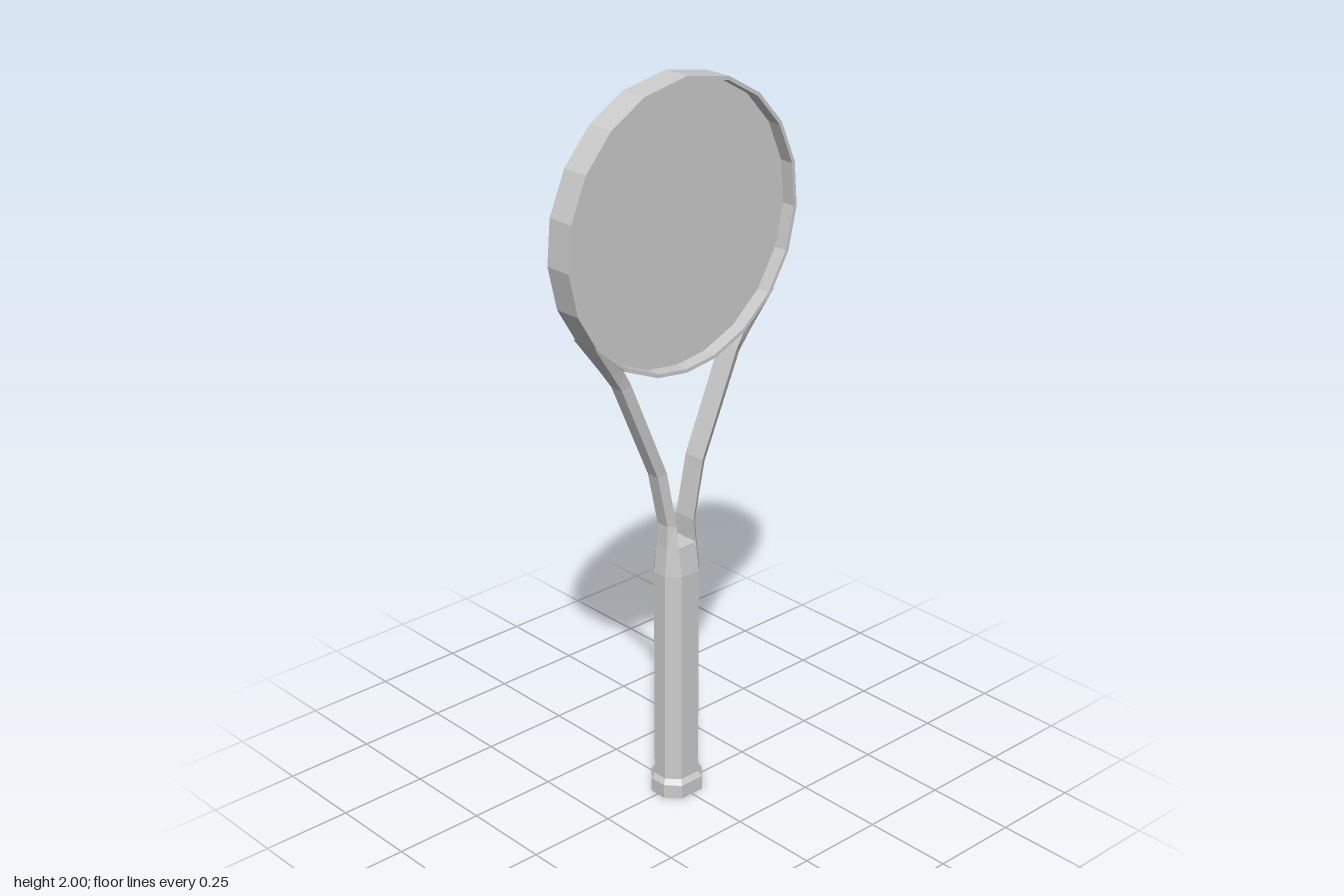
import * as THREE from 'three';

const material = new THREE.MeshStandardMaterial({ color: 0xcccccc, flatShading: true });
const sheet = new THREE.MeshStandardMaterial({ color: 0xcccccc, flatShading: true, side: THREE.DoubleSide });

// Skin a row of equal-sized cross-sections; optionally join the ends or cap them.
function loft(rings, { closed = false, caps = false } = {}) {
  const n = rings[0].length, pos = rings.flat(2), index = [];
  const spans = closed ? rings.length : rings.length - 1;
  for (let i = 0; i < spans; i++) {
    const p = i * n, q = ((i + 1) % rings.length) * n;
    for (let j = 0; j < n; j++) {
      const k = (j + 1) % n;
      index.push(p + j, p + k, q + k, p + j, q + k, q + j);
    }
  }
  if (caps) {
    const t = (rings.length - 1) * n;
    for (let j = 1; j < n - 1; j++) index.push(0, j + 1, j, t, t + j, t + j + 1);
  }
  const g = new THREE.BufferGeometry();
  g.setAttribute('position', new THREE.Float32BufferAttribute(pos, 3));
  g.setIndex(index);
  const flat = g.toNonIndexed();
  flat.computeVertexNormals();
  return flat;
}

function add(group, name, geometry, mat = material) {
  const mesh = new THREE.Mesh(geometry, mat);
  mesh.name = name;
  group.add(mesh);
  return mesh;
}

// Octagonal section: half sizes x, z and half lengths of the flats fx, fz
const octagon = ([y, x, z, fx, fz]) => [
  [x, y, -fz], [fx, y, -z], [-fx, y, -z], [-x, y, -fz],
  [-x, y, fz], [-fx, y, z], [fx, y, z], [x, y, fz],
];

export function createModel() {
  const racket = new THREE.Group();
  racket.name = 'racket';

  // Grip with flared butt and tapered top
  add(racket, 'handle', loft([
    [0, 0.062, 0.07, 0.025, 0.037],
    [0.04, 0.062, 0.07, 0.025, 0.037],
    [0.055, 0.053, 0.061, 0.021, 0.031],
    [0.67, 0.053, 0.061, 0.021, 0.031],
    [0.75, 0.042, 0.052, 0.02, 0.03],
  ].map(octagon), { caps: true }));

  // Throat arms: inner y, z, half width; outer y, z, half width
  const arm = loft([
    [0.75, 0.03, 0.042, 0.75, 0.052, 0.02],
    [0.81, 0.03, 0.033, 0.81, 0.049, 0.019],
    [0.97, 0.062, 0.032, 0.96, 0.082, 0.019],
    [1.25, 0.182, 0.032, 1.235, 0.202, 0.02],
    [1.295, 0.208, 0.034, 1.285, 0.236, 0.025],
    [1.374, 0.29, 0.039, 1.385, 0.307, 0.038],
  ].map(([yi, zi, xi, yo, zo, xo]) => [[xi, yi, zi], [-xi, yi, zi], [-xo, yo, zo], [xo, yo, zo]]), { caps: true });
  add(racket, 'frontArm', arm);
  add(racket, 'backArm', arm).rotation.y = Math.PI;

  // Head hoop: flat band round a 20-sided outline
  const half = [0, 21.3, 39.5, 57.6, 76, 94, 112, 130, 148, 165, 180];
  const angles = [...half, ...half.slice(1, -1).reverse().map((a) => 360 - a)].map(THREE.MathUtils.degToRad);
  const cy = 1.617, outer = 0.383, inner = 0.373, w = 0.039;
  const at = (x, r, a) => [x, cy + r * Math.cos(a), r * Math.sin(a)];
  add(racket, 'hoop', loft(
    angles.map((a) => [at(w, outer, a), at(-w, outer, a), at(-w, inner, a), at(w, inner, a)]),
    { closed: true }));

  // String bed: thin sheet in the middle of the hoop
  const outline = angles.map((a) => new THREE.Vector2(inner * Math.sin(a), cy + inner * Math.cos(a)));
  add(racket, 'stringBed', new THREE.ShapeGeometry(new THREE.Shape(outline)), sheet).rotation.y = Math.PI / 2;

  return racket;
}
